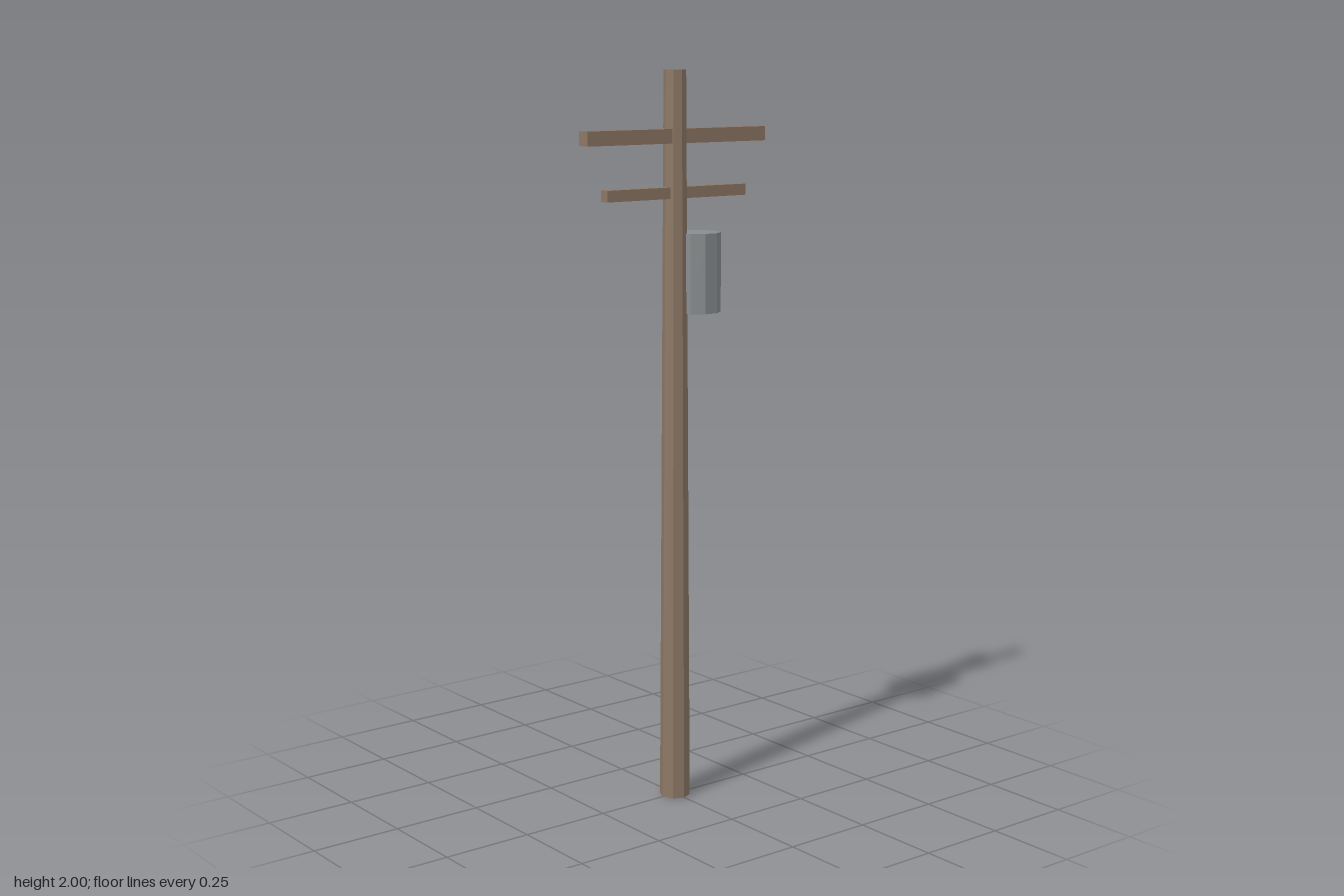
import * as THREE from 'three';

export function createModel() {
  const group = new THREE.Group();
  const wood = new THREE.MeshStandardMaterial({ color: 0x8c7765, flatShading: true });
  wood.name = 'weathered wood';
  const steel = new THREE.MeshStandardMaterial({ color: 0x888d8f, flatShading: true });
  steel.name = 'grey steel';

  const add = (name, geometry, material, x, y) => {
    const mesh = new THREE.Mesh(geometry, material);
    mesh.name = name;
    mesh.position.set(x, y, 0);
    group.add(mesh);
  };

  // Tapered eight-sided pole
  add('pole', new THREE.CylinderGeometry(0.03, 0.042, 2, 8), wood, 0, 1);

  // Two crossarms running through the pole
  add('upperCrossarm', new THREE.BoxGeometry(0.595, 0.038, 0.038), wood, 0, 1.828);
  add('lowerCrossarm', new THREE.BoxGeometry(0.464, 0.03, 0.03), wood, 0, 1.679);

  // Ten-sided transformer can on the left, with a corner pointing outward
  const can = new THREE.CylinderGeometry(0.065, 0.065, 0.215, 10).rotateY(Math.PI / 2);
  add('transformer', can, steel, 0.075, 1.463);

  return group;
}
